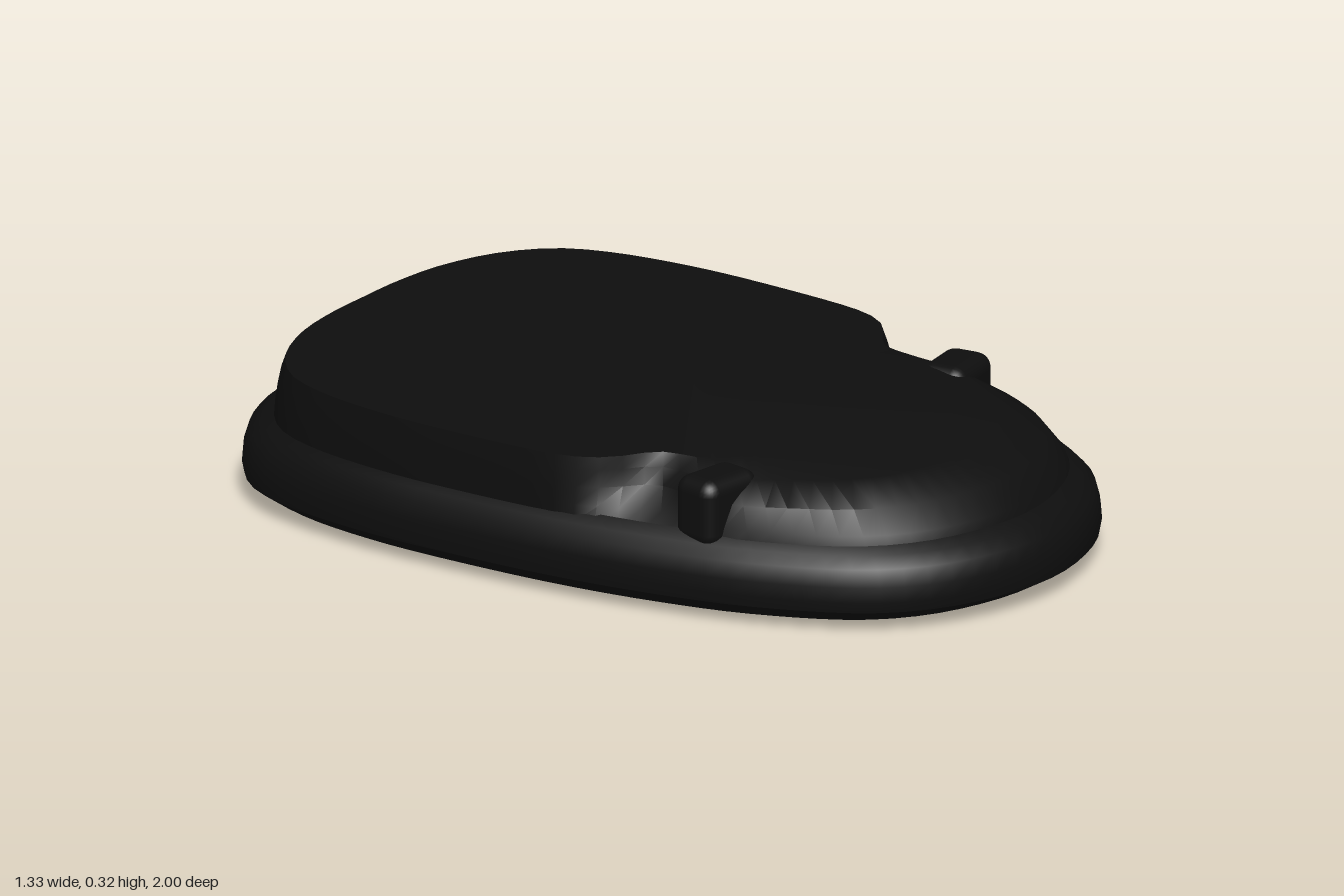
import * as THREE from 'three';
import { toCreasedNormals } from 'three/addons/utils/BufferGeometryUtils.js';
import { RoundedBoxGeometry } from 'three/addons/geometries/RoundedBoxGeometry.js';

const SEGMENTS = 96;

// Plan outline: half width and z, from front tip to back, then mirrored
const half = [[0, 1], [0.16, 0.975], [0.31, 0.91], [0.43, 0.8], [0.545, 0.57], [0.605, 0.35],
  [0.645, 0.1], [0.663, -0.2], [0.66, -0.45], [0.625, -0.68], [0.57, -0.81], [0.46, -0.91],
  [0.3, -0.975], [0.14, -0.998], [0, -1]];
const mirrored = half.slice(1, -1).reverse().map(([x, z]) => [-x, z]);
const outline = new THREE.CatmullRomCurve3(
  [...half, ...mirrored].map(([x, z]) => new THREE.Vector3(x, 0, z)), true
).getSpacedPoints(SEGMENTS).slice(0, SEGMENTS);

// Joins rings of points, listed bottom to top, and closes the chosen ends
function loft(rings, capBottom, capTop) {
  const pos = rings.flat().flatMap((p) => [p.x, p.y, p.z]);
  const index = [];
  const n = SEGMENTS;
  for (let i = 0; i < rings.length - 1; i++) {
    for (let j = 0; j < n; j++) {
      const k = (j + 1) % n;
      const a = i * n + j, b = i * n + k, c = a + n, d = b + n;
      index.push(a, b, d, a, d, c);
    }
  }
  const cap = (row, up) => {
    const centre = pos.length / 3;
    pos.push(0, rings[row][0].y, 0);
    for (let j = 0; j < n; j++) {
      const a = row * n + j, b = row * n + (j + 1) % n;
      index.push(centre, up ? a : b, up ? b : a);
    }
  };
  if (capBottom) cap(0, false);
  if (capTop) cap(rings.length - 1, true);
  const geo = new THREE.BufferGeometry();
  geo.setAttribute('position', new THREE.Float32BufferAttribute(pos, 3));
  geo.setIndex(index);
  return toCreasedNormals(geo, 0.6);
}

export function createModel() {
  const model = new THREE.Group();
  const black = new THREE.MeshStandardMaterial({ color: 0x0e0e0e });
  black.name = 'matte black';
  const add = (name, geo) => {
    const mesh = new THREE.Mesh(geo, black);
    mesh.name = name;
    model.add(mesh);
    return mesh;
  };

  // Base: rounded rim, as [inset fraction, height]
  const baseProfile = [[0.28, 0], [0.15, 0.004], [0.06, 0.018], [0.005, 0.05], [0, 0.075],
    [0.003, 0.11], [0.015, 0.15], [0.045, 0.175], [0.09, 0.195]];
  add('base', loft(baseProfile.map(([f, y]) =>
    outline.map((p) => new THREE.Vector3(p.x * (1 - f), y, p.z * (1 - f)))), true, false));

  // Upper body: steep wall at the back and sides, rounded over at the front
  const wall = [[0.07, 0.17], [0.075, 0.21], [0.083, 0.25], [0.093, 0.29], [0.105, 0.32]];
  const nose = [[0.07, 0.17], [0.085, 0.21], [0.13, 0.262], [0.24, 0.3], [0.4, 0.32]];
  add('upperBody', loft(wall.map(([fw, yw], i) => outline.map((p) => {
    const t = THREE.MathUtils.smoothstep(p.z, 0.2, 0.75);
    const waist = 0.15 * Math.exp(-(((p.z - 0.32) / 0.14) ** 2)) * Math.min(1, i / 2);
    const f = THREE.MathUtils.lerp(fw, nose[i][0], t) + waist;
    const y = THREE.MathUtils.lerp(yw, nose[i][1], t);
    return new THREE.Vector3(p.x * (1 - f) - 0.015 * (i / 4), y, p.z * (1 - f));
  })), false, true));

  // Side lugs in front of the waist
  for (const [name, side] of [['leftLug', 1], ['rightLug', -1]]) {
    const lug = add(name, new RoundedBoxGeometry(0.17, 0.16, 0.12, 3, 0.035));
    lug.position.set(side * 0.455 - 0.015, 0.239, 0.41);
    lug.rotation.y = side * 0.15;
  }

  return model;
}
